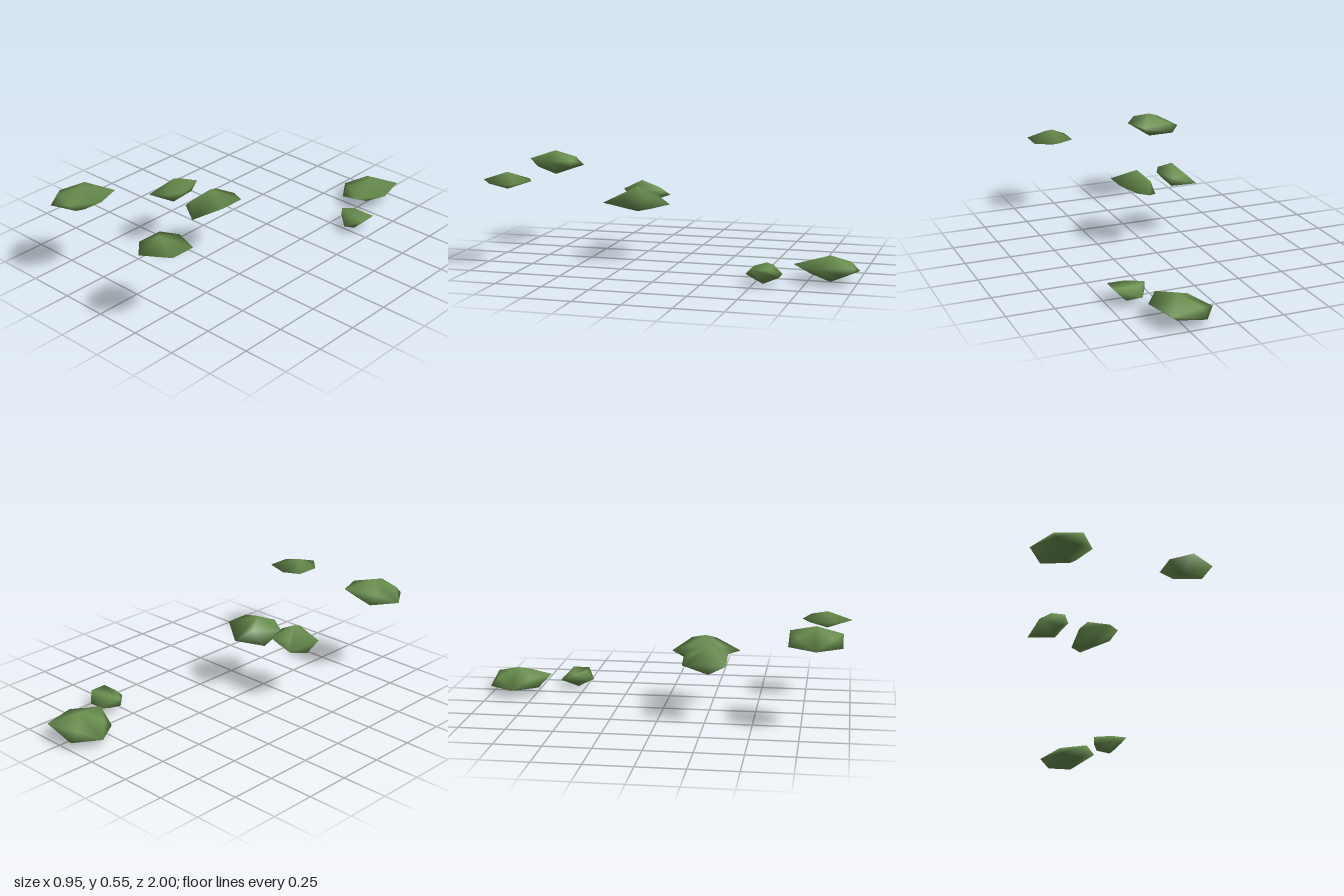
import * as THREE from 'three';
import { mergeVertices } from 'three/addons/utils/BufferGeometryUtils.js';
import { ConvexGeometry } from 'three/addons/geometries/ConvexGeometry.js';

// All corners sit on a coarse grid of this step
const STEP = 1 / 22;

// Each clump: lowest grid level, then its [x, z] corners layer by layer upwards
const CLUMPS = [
  { name: 'frontRightClump', base: 9, layers: [
    [[4, 18]],
    [[5, 20], [2, 21], [0, 18], [2, 15], [5, 16]],
    [[7, 18], [5, 21], [2, 20], [2, 16], [6, 15]],
    [[4, 18]]] },
  { name: 'frontLeftClump', base: 9, layers: [
    [[17, 19]],
    [[20, 17], [20, 20], [17, 22], [15, 20], [15, 17], [17, 16]],
    [[17, 19]]] },
  { name: 'middleRightClump', base: 6, layers: [
    [[6, 6], [4, 6]],
    [[7, 7], [4, 8], [4, 3], [7, 4]],
    [[8, 6], [7, 8], [5, 7], [5, 4], [7, 3]],
    [[6, 6]]] },
  { name: 'middleLeftClump', base: 6, layers: [
    [[11, 5], [9, 4]],
    [[12, 9], [9, 7], [11, 1], [12, 5]],
    [[14, 6], [10, 7], [10, 5], [10, 3], [14, 3]],
    [[11, 5]]] },
  { name: 'backLargeClump', base: 0, layers: [
    [[16, -19]],
    [[17, -17], [14, -16], [12, -19], [14, -22], [17, -21]],
    [[19, -18], [17, -15], [14, -17], [14, -21], [18, -22]],
    [[16, -19]]] },
  { name: 'backSmallClump', base: 0, layers: [
    [[19, -12]],
    [[20, -11], [19, -10], [17, -12], [18, -14], [20, -14]],
    [[21, -11], [19, -11], [17, -12], [18, -13], [21, -13]]] },
];

// Wraps the layers in a faceted hull with smooth normals
function clumpGeometry({ base, layers }) {
  const points = layers.flatMap((ring, level) => ring.map(([x, z]) =>
    new THREE.Vector3((x - 10.5) * STEP, (base + level) * STEP, z * STEP)));
  const hull = new ConvexGeometry(points);
  hull.deleteAttribute('normal');
  const geometry = mergeVertices(hull, 1e-4);
  geometry.computeVertexNormals();
  return geometry;
}

export function createModel() {
  const model = new THREE.Group();
  model.name = 'leafClumps';
  const leaf = new THREE.MeshStandardMaterial({ color: 0x6a8f4f });
  leaf.name = 'leafGreen';
  for (const clump of CLUMPS) {
    const mesh = new THREE.Mesh(clumpGeometry(clump), leaf);
    mesh.name = clump.name;
    model.add(mesh);
  }
  return model;
}
